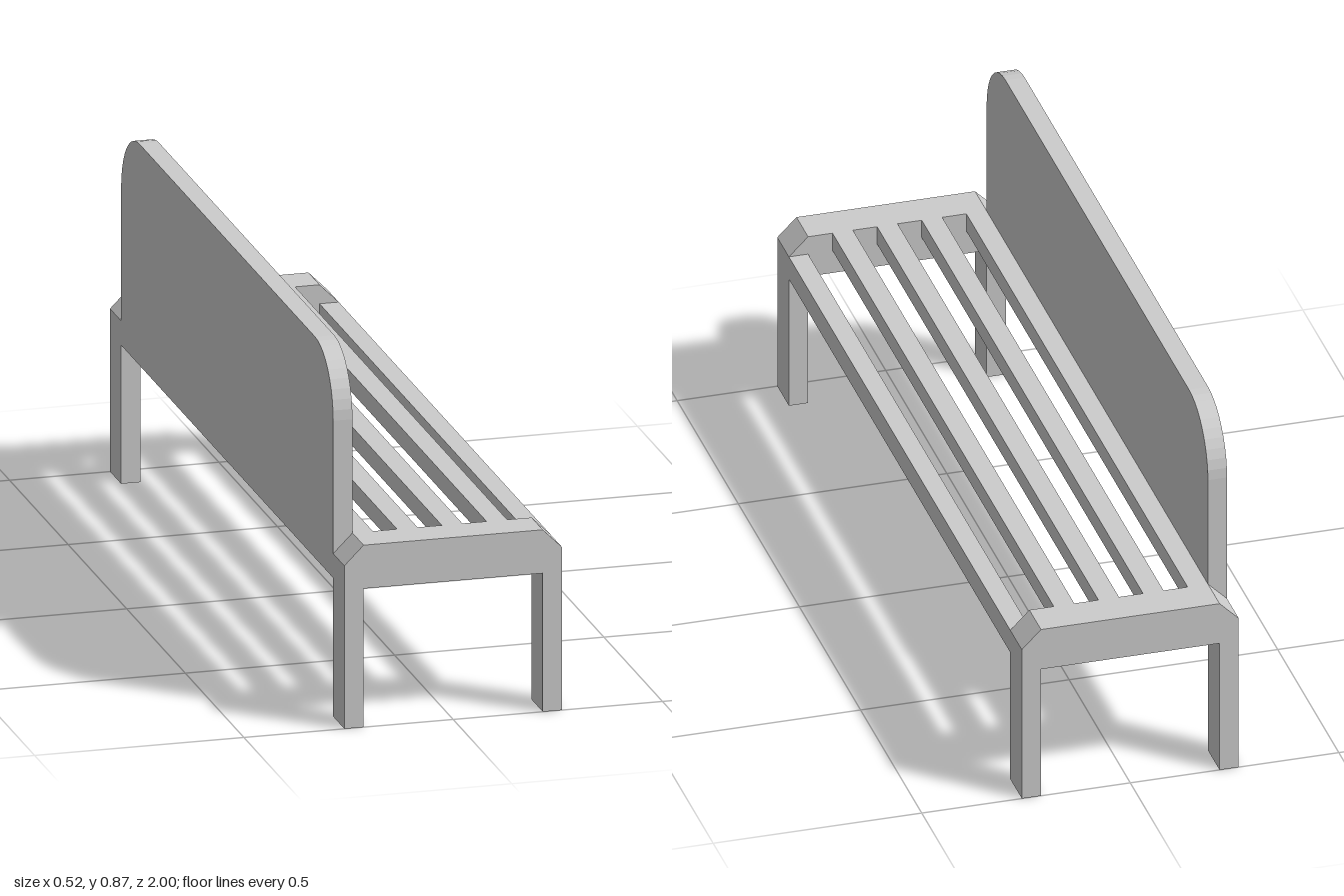
import * as THREE from 'three';

const material = new THREE.MeshStandardMaterial({ color: 0xcccccc, flatShading: true });

const HALF_X = 0.26, INNER_X = 0.214;    // outer and inner faces of the legs
const END_Z = 1, INNER_Z = 0.905;        // outer and inner faces of the end frames
const UNDER = 0.335, CHAMFER = 0.394, SEAT = 0.44, TOP = 0.87;

export function createModel() {
  const bench = new THREE.Group();
  bench.name = 'bench';

  const add = (name, geometry, x, y, z) => {
    const mesh = new THREE.Mesh(geometry, material);
    mesh.name = name;
    mesh.position.set(x, y, z);
    bench.add(mesh);
    return mesh;
  };

  // End frames: two legs joined by a chamfered cross board
  const frame = new THREE.Shape([
    [-HALF_X, 0], [-INNER_X, 0], [-INNER_X, UNDER], [INNER_X, UNDER],
    [INNER_X, 0], [HALF_X, 0], [HALF_X, CHAMFER], [INNER_X, SEAT],
    [-INNER_X, SEAT], [-HALF_X, CHAMFER],
  ].map(([x, y]) => new THREE.Vector2(x, y)));
  const frameGeometry = new THREE.ExtrudeGeometry(frame, { depth: END_Z - INNER_Z, bevelEnabled: false });
  add('leftEndFrame', frameGeometry, 0, 0, -END_Z);
  add('rightEndFrame', frameGeometry, 0, 0, INNER_Z);

  // Seat slats, flush with the top of the end frames
  const slatGeometry = new THREE.BoxGeometry(0.049, SEAT - CHAMFER, 2 * INNER_Z);
  for (let i = 0; i < 4; i++) {
    add('seatSlat', slatGeometry, -0.19 + i * 0.107, (SEAT + CHAMFER) / 2, 0);
  }

  // Front rail between the front legs
  const railGeometry = new THREE.BoxGeometry(HALF_X - INNER_X, CHAMFER - UNDER, 2 * INNER_Z);
  add('frontRail', railGeometry, (HALF_X + INNER_X) / 2, (UNDER + CHAMFER) / 2, 0);

  // Backrest panel with rounded upper corners, reaching down to form the rear rail
  const r = 0.155;
  const panel = new THREE.Shape();
  panel.moveTo(-INNER_Z, UNDER);
  panel.lineTo(INNER_Z, UNDER);
  panel.lineTo(INNER_Z, TOP - r);
  panel.absarc(INNER_Z - r, TOP - r, r, 0, Math.PI / 2);
  panel.lineTo(-INNER_Z + r, TOP);
  panel.absarc(-INNER_Z + r, TOP - r, r, Math.PI / 2, Math.PI);
  const panelGeometry = new THREE.ExtrudeGeometry(panel, {
    depth: HALF_X - INNER_X, bevelEnabled: false, curveSegments: 5,
  });
  add('backrest', panelGeometry, -HALF_X, 0, 0).rotation.y = Math.PI / 2;

  return bench;
}
